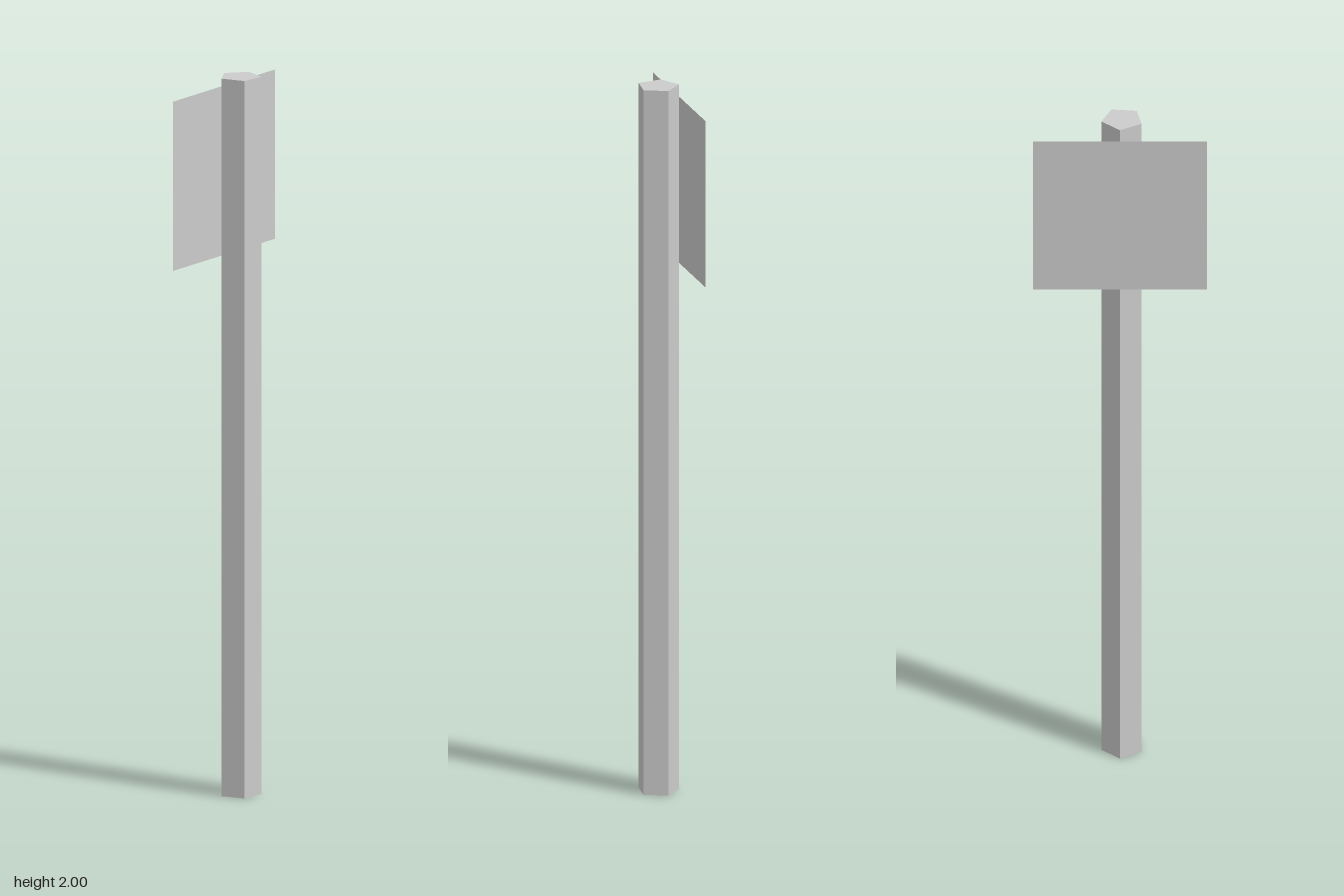
import * as THREE from 'three';

export function createModel() {
  const group = new THREE.Group();
  const material = new THREE.MeshStandardMaterial({
    color: 0xcccccc, flatShading: true, side: THREE.DoubleSide,
  });
  const add = (name, geometry, parent) => {
    const mesh = new THREE.Mesh(geometry, material);
    mesh.name = name;
    parent.add(mesh);
    return mesh;
  };

  // Five-sided post, slightly turned, closed on top and open underneath
  const radius = 0.058, height = 2, turn = Math.PI - 0.11;
  const post = new THREE.Group();
  post.name = 'post';
  post.position.set(-0.006, 0, 0.003);
  post.rotation.y = turn;
  group.add(post);
  add('postSides', new THREE.CylinderGeometry(radius, radius, height, 5, 1, true), post)
    .position.y = height / 2;
  const cap = add('postCap', new THREE.CircleGeometry(radius, 5, -Math.PI / 2), post);
  cap.rotation.x = -Math.PI / 2;
  cap.position.y = height;

  // Thin square sign panel touching the rear corner of the post
  add('signPanel', new THREE.PlaneGeometry(0.472, 0.472), group)
    .position.set(0, 1.729, -0.055);

  return group;
}
